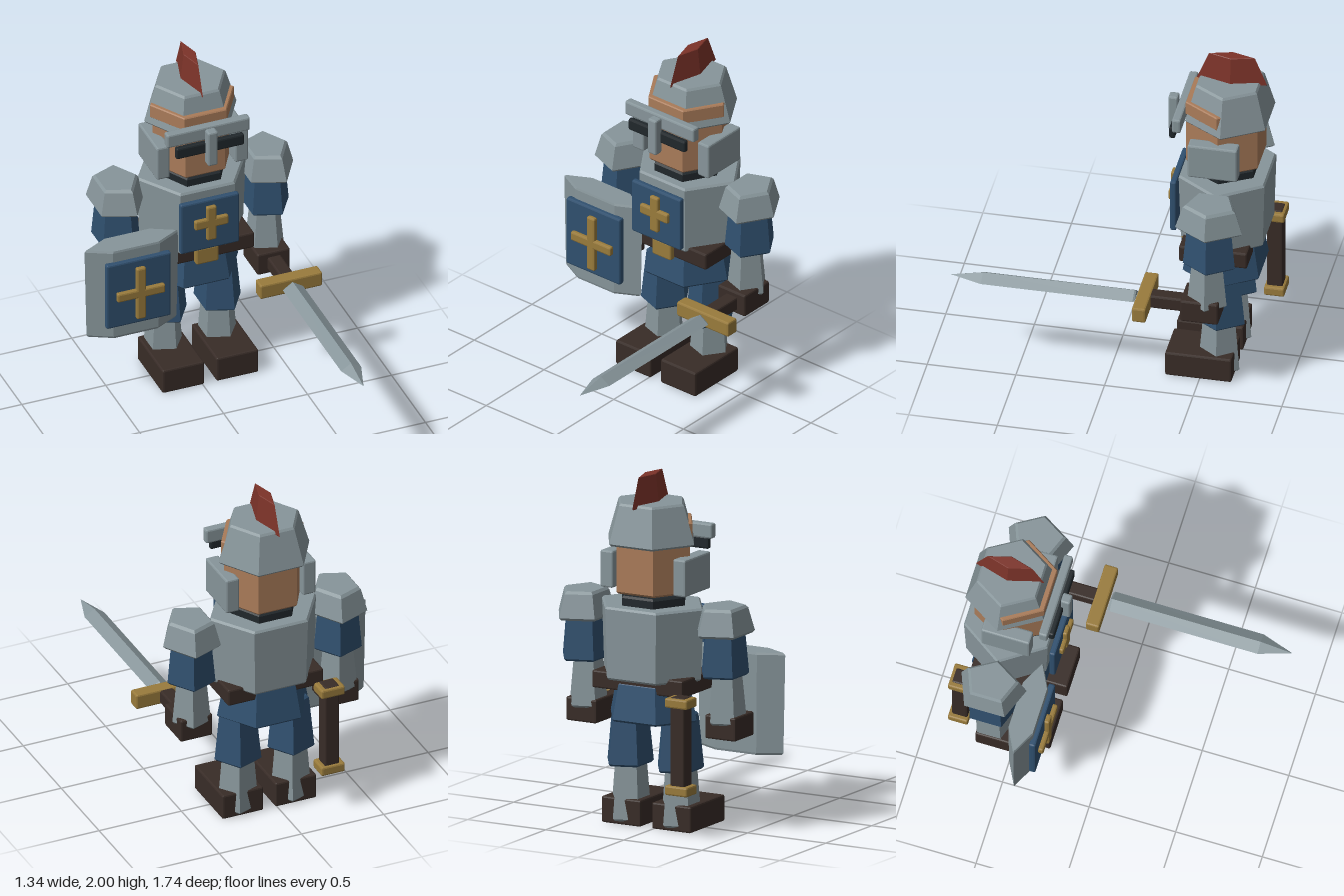
import * as THREE from 'three';
import { RoundedBoxGeometry } from 'three/addons/geometries/RoundedBoxGeometry.js';

const mat = (color, side = THREE.FrontSide) =>
  new THREE.MeshStandardMaterial({ color, flatShading: true, side });
const STEEL = mat(0x87959a), BLUE = mat(0x30506f), SKIN = mat(0xa97b59), LEATHER = mat(0x382c27),
  GOLD = mat(0x997b3c), RED = mat(0x7c3329), BLACK = mat(0x20272b);

export function createModel() {
  const root = new THREE.Group();
  root.name = 'knight';

  const add = (parent, name, geometry, material) => {
    const mesh = new THREE.Mesh(geometry, material);
    mesh.name = name;
    parent.add(mesh);
    return mesh;
  };

  // Chamfered box given by its extents
  const box = (parent, name, material, [x0, x1], [y0, y1], [z0, z1], bevel = 0.01) => {
    const g = new RoundedBoxGeometry(x1 - x0, y1 - y0, z1 - z0, 1, bevel);
    g.translate((x0 + x1) / 2, (y0 + y1) / 2, (z0 + z1) / 2);
    return add(parent, name, g, material);
  };

  // Chamfered n-sided frustum with one corner toward +x, sz stretches its depth
  const frustum = (parent, name, material, n, [x, z], [y0, y1], [r0, r1], sz = 1, b = 0.012) => {
    const profile = [[0, y0], [r0 - b, y0], [r0, y0 + b], [r1, y1 - b], [r1 - b, y1], [0, y1]]
      .map(([r, y]) => new THREE.Vector2(r, y));
    const g = new THREE.LatheGeometry(profile, n, Math.PI / 2);
    g.scale(1, 1, sz).translate(x, 0, z);
    return add(parent, name, g, material);
  };

  const group = (name) => {
    const g = new THREE.Group();
    g.name = name;
    root.add(g);
    return g;
  };

  // Raised cross made of two bars
  const cross = (parent, x, y, [halfW, halfH], yBar, bar, z) => {
    box(parent, 'crossUpright', GOLD, [x - bar, x + bar], [y - halfH, y + halfH], z);
    box(parent, 'crossBar', GOLD, [x - halfW, x + halfW], [yBar - bar, yBar + bar], z);
  };

  const CX = 0.05;

  // Head and helmet
  const head = group('head');
  frustum(head, 'face', SKIN, 6, [CX, -0.593], [1.335, 1.63], [0.235, 0.235], 0.99);
  frustum(head, 'brow', SKIN, 6, [CX, -0.59], [1.655, 1.74], [0.25, 0.25], 0.925, 0.006);
  frustum(head, 'helmet', STEEL, 6, [CX, -0.615], [1.61, 1.845], [0.275, 0.21], 0.95);
  frustum(head, 'plume', RED, 4, [CX, -0.625], [1.825, 2.0], [0.055, 0.036], 3.6, 0.003);
  box(head, 'visorBar', STEEL, [-0.2, 0.295], [1.605, 1.69], [-0.385, -0.335]);
  box(head, 'noseGuard', STEEL, [0.018, 0.078], [1.47, 1.69], [-0.325, -0.27]);
  box(head, 'eyeSlit', BLACK, [-0.155, 0.25], [1.535, 1.605], [-0.345, -0.31]);
  for (const s of [-1, 1]) {
    const x = CX + s * 0.233;
    box(head, 'cheekPlate', STEEL, [x - 0.04, x + 0.04], [1.34, 1.55], [-0.71, -0.43]);
  }

  // Torso
  const torso = group('torso');
  frustum(torso, 'collar', BLACK, 6, [CX, -0.59], [1.24, 1.32], [0.2, 0.2], 1.02);
  frustum(torso, 'breastplate', STEEL, 6, [CX, -0.6], [0.85, 1.265], [0.31, 0.325], 0.86);
  box(torso, 'chestPanel', BLUE, [-0.13, 0.22], [0.895, 1.22], [-0.345, -0.31]);
  cross(torso, 0.047, 1.075, [0.1, 0.11], 1.078, 0.03, [-0.315, -0.285]);
  box(torso, 'belt', LEATHER, [-0.24, 0.34], [0.78, 0.88], [-0.77, -0.385]);
  box(torso, 'buckle', GOLD, [-0.02, 0.115], [0.77, 0.875], [-0.395, -0.352]);
  frustum(torso, 'skirt', BLUE, 6, [CX, -0.59], [0.61, 0.83], [0.275, 0.235], 0.9);

  // Arms
  for (const [side, x] of [['right', -0.4], ['left', 0.49]]) {
    const arm = group(side + 'Arm');
    frustum(arm, 'pauldron', STEEL, 5, [x, -0.595], [1.135, 1.295], [0.165, 0.13], 1.2, 0.015);
    frustum(arm, 'upperArm', BLUE, 5, [x, -0.595], [0.9, 1.18], [0.138, 0.115], 1.12);
    frustum(arm, 'forearm', STEEL, 5, [x - 0.01, -0.58], [0.63, 0.93], [0.112, 0.085], 1.05);
    box(arm, 'glove', LEATHER, [x - 0.11, x + 0.085], [0.545, 0.68], [-0.655, -0.44]);
  }

  // Legs
  for (const [side, x] of [['right', -0.115], ['left', 0.207]]) {
    const leg = group(side + 'Leg');
    frustum(leg, 'thigh', BLUE, 5, [x, -0.595], [0.335, 0.66], [0.135, 0.105], 1.12);
    frustum(leg, 'shin', STEEL, 5, [x - 0.005, -0.59], [0.02, 0.38], [0.12, 0.092], 1.02);
    box(leg, 'boot', LEATHER, [x - 0.125, x + 0.125], [0, 0.15], [-0.68, -0.305]);
  }

  // Shield: a flattened six-sided prism
  const shield = group('shield');
  frustum(shield, 'shieldBody', STEEL, 6, [-0.393, -0.385], [0.435, 1.015], [0.268, 0.28], 0.295);
  box(shield, 'shieldPanel', BLUE, [-0.58, -0.195], [0.525, 0.945], [-0.325, -0.287]);
  cross(shield, -0.383, 0.733, [0.143, 0.168], 0.733, 0.028, [-0.29, -0.258]);

  // Sword
  const sword = group('sword');
  box(sword, 'grip', LEATHER, [0.44, 0.52], [0.57, 0.65], [-0.46, -0.25]);
  box(sword, 'crossguard', GOLD, [0.295, 0.665], [0.565, 0.655], [-0.265, -0.187]);

  // Blade: triangular sections that close to a point
  const sections = [[-0.175, 0.05, 0.034], [-0.165, 0.06, 0.04], [0.69, 0.06, 0.038], [0.87, 0.001, 0.001]];
  const pos = [], index = [];
  sections.forEach(([z, w, h], i) => {
    pos.push(0.48 - w, 0.61, z, 0.48 + w, 0.61, z, 0.48, 0.61 + h, z);
    if (i === 0) return;
    for (let k = 0; k < 3; k++) {
      const a = (i - 1) * 3 + k, b = (i - 1) * 3 + (k + 1) % 3;
      index.push(a, b, b + 3, a, b + 3, a + 3);
    }
  });
  index.push(0, 2, 1, 9, 10, 11);
  const blade = new THREE.BufferGeometry();
  blade.setAttribute('position', new THREE.Float32BufferAttribute(pos, 3));
  blade.setIndex(index);
  blade.computeVertexNormals();
  add(sword, 'blade', blade, STEEL);

  // Scabbard on the back
  const scabbard = group('scabbard');
  box(scabbard, 'sheath', LEATHER, [-0.3, -0.21], [0.27, 0.805], [-0.855, -0.765]);
  for (const [y0, y1] of [[0.25, 0.305], [0.745, 0.8]])
    box(scabbard, 'sheathBand', GOLD, [-0.327, -0.183], [y0, y1], [-0.87, -0.755]);

  return root;
}
